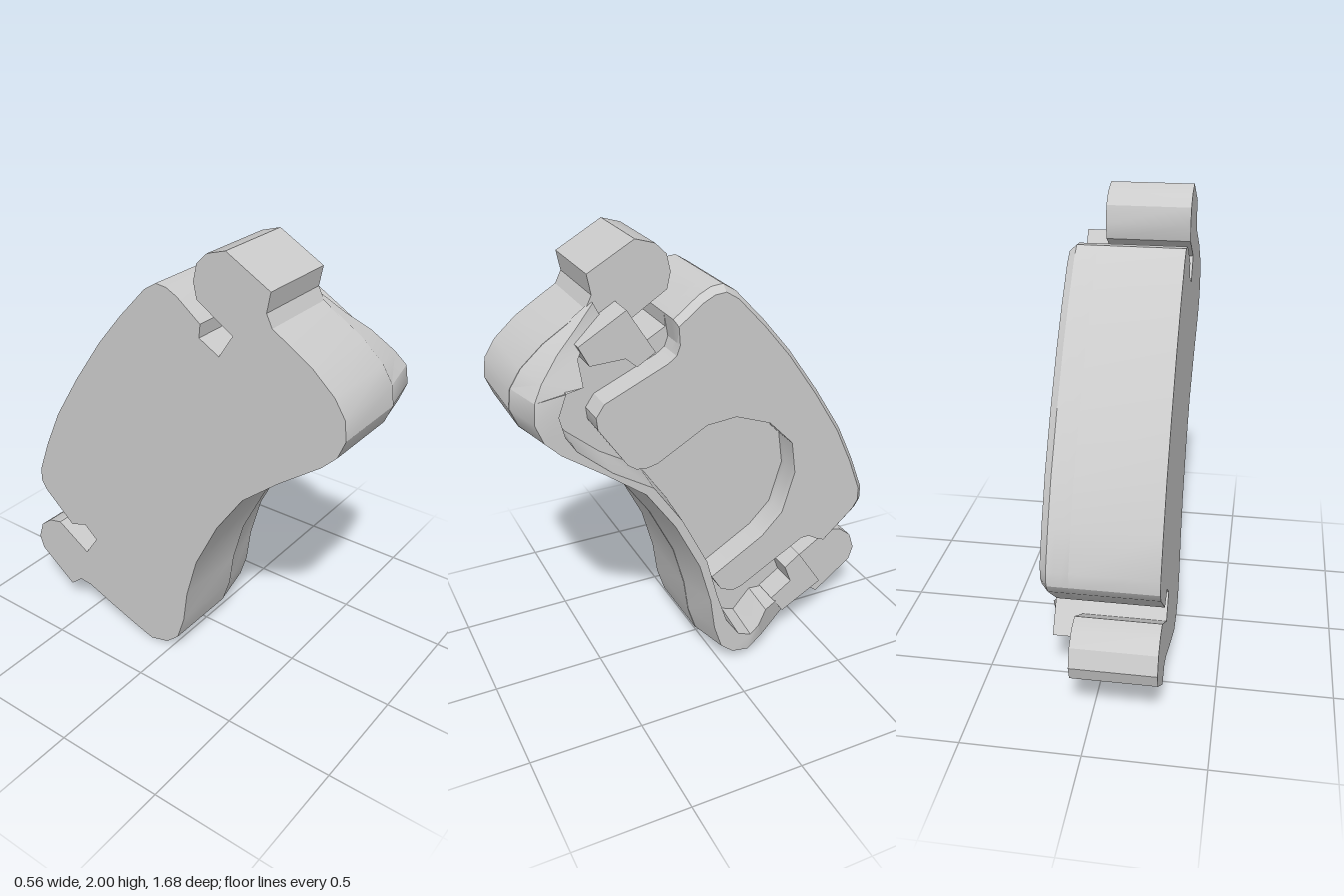
import * as THREE from 'three';
import { toCreasedNormals } from 'three/addons/utils/BufferGeometryUtils.js';

const BACK = -0.28, BASE = 0.08, FACE = 0.2, RIM = 0.28;
const UNIT = 188.5;

// Outlines are drawn in a side-view drafting grid (188.5 steps per unit)
const U = (a) => (a - 686) / UNIT;
const V = (b) => (413 - b) / UNIT;
const toShape = (pts) => new THREE.Shape(pts.map(([a, b]) => new THREE.Vector2(U(a), V(b))));

// Extrude a side outline from x0 to x1
function slab(pts, x0, x1, steps = 1) {
  const g = new THREE.ExtrudeGeometry(toShape(pts), { depth: x1 - x0, steps, bevelEnabled: false });
  return g.translate(0, 0, x0);
}

function createModel() {
  const group = new THREE.Group();
  const mat = new THREE.MeshStandardMaterial({ color: 0xcccccc, side: THREE.DoubleSide });
  const add = (name, geo) => {
    geo.rotateY(Math.PI / 2); // side outline faces +x
    const mesh = new THREE.Mesh(toCreasedNormals(geo, 0.5), mat);
    mesh.name = name;
    group.add(mesh);
  };

  // Outer edge of the raised plate, from upper slot to lower slot
  const plateEdge = [[652, 95], [673, 79], [683, 74], [693, 73], [704, 80], [729, 107], [753, 136],
    [781, 176], [806, 216], [822, 250], [834, 281], [834, 293], [829, 301], [799, 327]];

  // Backing body: two end lugs, hooked slots and waisted front edge
  const body = [[592, 57], [630, 36], [646, 41], [655, 50], [658, 64], [655, 77], [623, 97], [635, 116],
    [653, 106], ...plateEdge, [783, 321], [770, 332], [783, 351],
    [815, 331], [828, 334], [839, 343], [844, 358], [840, 370], [805, 396], [793, 386], [781, 387],
    [755, 397], [727, 407], [708, 413], [690, 408], [678, 397], [671, 375], [667, 345], [657, 308],
    [636, 265], [612, 230], [580, 203], [545, 177], [533, 165], [527, 150], [529, 134], [538, 120],
    [556, 104], [575, 92], [590, 83], [595, 73]];
  add('body', slab(body, BACK, BASE));

  // Raised plate with a rounded pocket opening towards the front channel
  const plate = [...plateEdge, [787, 320], [779, 315], [771, 315], [712, 348], [703, 350], [692, 345], [683, 330],
    [731, 302], [750, 283], [761, 247], [757, 218], [735, 195], [704, 183], [678, 185],
    [635, 209], [626, 211], [617, 210], [610, 205], [587, 170], [586, 160], [593, 150], [645, 127], [652, 122], [655, 114]];
  const plateGeo = slab(plate, BASE, FACE, 4);
  const pos = plateGeo.attributes.position;
  for (let i = 0; i < pos.count; i++) {
    // chamfer only the outer edge of the top face
    const onEdge = plateEdge.some(([a, b]) => Math.hypot(pos.getX(i) - U(a), pos.getY(i) - V(b)) < 1e-4);
    if (onEdge && pos.getZ(i) > FACE - 0.001) {
      pos.setX(i, U(700) + (pos.getX(i) - U(700)) * 0.955);
      pos.setY(i, V(220) + (pos.getY(i) - V(220)) * 0.965);
    }
  }
  add('plate', plateGeo);

  // Blocks beside the hooked slots
  add('upperBlock', slab([[575, 102], [613, 80], [635, 116], [620, 125], [611, 117], [583, 118]], BASE - 0.02, FACE));
  add('lowerBlock', slab([[756, 342], [770, 332], [793, 367], [755, 388], [743, 371], [762, 358]], BASE - 0.02, FACE));

  // Front rim: stations of outer point, inner point and height
  const stations = [
    [595, 78, 600, 88, 0.09], [575, 92, 585, 100, 0.14], [556, 104, 575, 112, 0.19], [538, 120, 575, 130, 0.24],
    [529, 134, 560, 130, 0.27], [527, 150, 553, 146, RIM], [533, 165, 557, 163, RIM], [545, 177, 565, 176, RIM],
    [580, 203, 592, 200, RIM], [612, 230, 625, 221, RIM], [636, 265, 649, 257, RIM], [657, 308, 671, 302, RIM],
    [667, 345, 681, 340, RIM], [671, 375, 690, 368, RIM], [678, 397, 702, 386, RIM], [690, 408, 714, 391, RIM],
    [708, 413, 722, 384, RIM], [727, 407, 732, 374, 0.25], [755, 397, 758, 376, 0.17], [781, 387, 781, 375, 0.09]];
  const verts = [], index = [], floor = BASE - 0.01;
  for (const [a, b, c, d, h] of stations) {
    const len = Math.hypot(c - a, d - b);
    const t = Math.min(0.6, 8 * (h - 0.08) / 0.2 / len); // outer wall leans inward
    const s = 1 + 3 / len; // inner wall flares at its foot
    const at = (k, w) => verts.push(U(a + (c - a) * k), V(b + (d - b) * k), w);
    at(0, floor); at(t, h); at(1, h); at(s, floor);
  }
  for (let i = 0; i < stations.length - 1; i++) {
    for (let k = 0; k < 3; k++) {
      const p = i * 4 + k;
      index.push(p, p + 4, p + 1, p + 1, p + 4, p + 5);
    }
  }
  const e = (stations.length - 1) * 4;
  index.push(0, 1, 2, 0, 2, 3, e, e + 2, e + 1, e, e + 3, e + 2);
  const rim = new THREE.BufferGeometry();
  rim.setAttribute('position', new THREE.Float32BufferAttribute(verts, 3));
  rim.setIndex(index);
  add('frontRim', rim);

  return group;
}

export { createModel };
